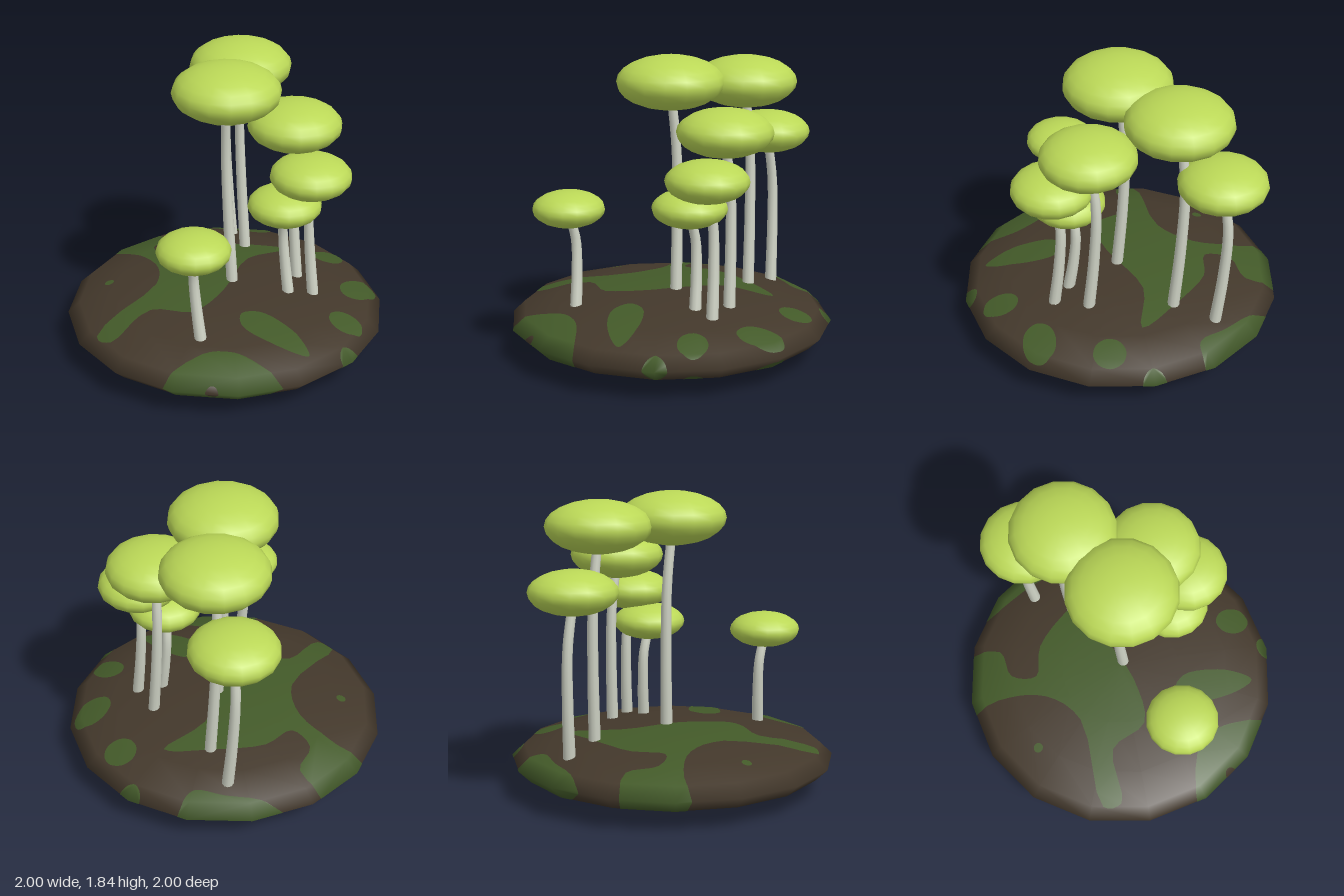
import * as THREE from 'three';

const SIDES = 16, RINGS = 8, MID = 0.195, HALF = 0.19; // flattened ground mound

const material = (name, color, extra = {}) => {
  const m = new THREE.MeshStandardMaterial({ color, ...extra });
  m.name = name;
  return m;
};

// Smooth closed outline through [x, z] points
function outline(points) {
  const curve = new THREE.CatmullRomCurve3(
    points.map(([x, z]) => new THREE.Vector3(x, 0, z)), true, 'centripetal');
  return curve.getPoints(points.length * 4).slice(0, -1).map(p => new THREE.Vector2(p.x, p.z));
}

// Oval outline, narrowed towards +z by taper
function oval(x, z, rx, rz = rx, taper = 0) {
  return Array.from({ length: 8 }, (_, i) => {
    const a = i * Math.PI / 4, s = Math.sin(a);
    return [x + rx * Math.cos(a) * (1 - taper * s), z + rz * s];
  });
}

// Keep the side of a polygon where nx * x + nz * z >= c
function clip(poly, nx, nz, c) {
  const out = [];
  poly.forEach((p, i) => {
    const q = poly[(i + 1) % poly.length];
    const a = nx * p.x + nz * p.y - c, b = nx * q.x + nz * q.y - c;
    if (a >= 0) out.push(p);
    if ((a >= 0) !== (b >= 0)) out.push(p.clone().lerp(q, a / (a - b)));
  });
  return out;
}

// Thin skin following the mound's facets, on its upper and lower face
function patchGeometry(points, lift) {
  const shape = outline(points), pos = [], nor = [];
  const half = Math.PI / SIDES;
  for (let s = 0; s < SIDES; s++) {
    const a = (2 * s + 1) * half, cx = Math.cos(a), cz = Math.sin(a);
    const wedge = clip(
      clip(shape, -Math.sin(a - half), Math.cos(a - half), 0),
      Math.sin(a + half), -Math.cos(a + half), 0);
    for (let j = 0; j < RINGS / 2; j++) {
      const t0 = j * Math.PI / RINGS, t1 = (j + 1) * Math.PI / RINGS;
      const d0 = Math.sin(t0) * Math.cos(half), d1 = Math.sin(t1) * Math.cos(half);
      const piece = clip(clip(wedge, cx, cz, d0), -cx, -cz, -d1);
      if (piece.length < 3) continue;
      const verts = piece.map(p => {
        const k = (p.x * cx + p.y * cz - d0) / (d1 - d0);
        const y = HALF * THREE.MathUtils.lerp(Math.cos(t0), Math.cos(t1), k);
        const n = new THREE.Vector3(p.x, y / (HALF * HALF), p.y).normalize();
        return { p: new THREE.Vector3(p.x, y, p.y).addScaledVector(n, lift), n };
      });
      for (const [i0, i1, i2] of THREE.ShapeUtils.triangulateShape(piece, [])) {
        const A = piece[i0], B = piece[i1], C = piece[i2];
        const turn = (B.x - A.x) * (C.y - A.y) - (B.y - A.y) * (C.x - A.x);
        const up = turn < 0 ? [i0, i1, i2] : [i0, i2, i1];
        for (const [side, order] of [[1, up], [-1, [...up].reverse()]]) {
          for (const i of order) {
            const { p, n } = verts[i];
            pos.push(p.x, MID + side * p.y, p.z);
            nor.push(n.x, side * n.y, n.z);
          }
        }
      }
    }
  }
  const g = new THREE.BufferGeometry();
  g.setAttribute('position', new THREE.Float32BufferAttribute(pos, 3));
  g.setAttribute('normal', new THREE.Float32BufferAttribute(nor, 3));
  return g;
}

// Bent stem from the mound up into a cap, narrowing towards the top
function stemGeometry(x, y, z) {
  const bx = x + 0.036, bz = z + 0.018;
  const by = MID + HALF * Math.sqrt(1 - bx * bx - bz * bz) - 0.03;
  const curve = new THREE.CatmullRomCurve3([
    new THREE.Vector3(bx, by, bz),
    new THREE.Vector3(bx + 0.004, by + (y - by) * 0.35, bz - 0.037),
    new THREE.Vector3(bx - 0.002, by + (y - by) * 0.68, bz - 0.053),
    new THREE.Vector3(x, y - 0.04, z - 0.005),
  ]);
  const rows = 12, round = 10;
  const g = new THREE.TubeGeometry(curve, rows, 0.037, round, false);
  const pos = g.attributes.position, v = new THREE.Vector3();
  for (let i = 0; i < pos.count; i++) {
    const t = Math.floor(i / (round + 1)) / rows;
    const c = curve.getPointAt(t);
    v.fromBufferAttribute(pos, i).sub(c).multiplyScalar(1 - 0.25 * t).add(c);
    pos.setXYZ(i, v.x, v.y, v.z);
  }
  return g;
}

// Moss outlines seen from above, as [x, z]
const branchingMoss = [
  [-0.1, -1.1], [0.27, -1.1], [0.28, -0.76], [0.09, -0.71], [0.05, -0.55], [0.25, -0.49],
  [0.48, -0.25], [0.64, 0], [0.32, -0.08], [-0.1, 0.07], [-0.4, 0.08], [-0.53, -0.15],
  [-0.87, -0.16], [-0.87, -0.28], [-0.3, -0.32], [-0.1, -0.51], [-0.05, -0.82]];
const cornerMoss = [
  [-1.1, 0.36], [-0.65, 0.38], [-0.53, 0.51], [-0.49, 0.67], [-0.54, 1.05], [-1.1, 1.05]];
const rimMoss = [
  [0.53, -1.1], [0.55, -0.8], [0.7, -0.5], [0.78, -0.33], [0.9, -0.32], [1.1, -0.38], [1.1, -1.1]];
const looseMoss = [
  oval(-0.22, 0.58, 0.1, 0.26, 0.35),
  oval(0.2, 0.8, 0.09, 0.11),
  oval(0.58, 0.62, 0.14, 0.1),
  oval(0.78, 0.23, 0.1, 0.1),
  oval(-0.42, -0.62, 0.03),
  oval(0, 1, 0.075),
  oval(1, 0, 0.075),
];

// Cap centre x, y, z and radius
const MUSHROOMS = [
  [0, 1.675, 0.01, 0.33],
  [0.44, 1.65, -0.25, 0.32],
  [0.58, 1.295, -0.48, 0.267],
  [0.345, 1.42, 0.26, 0.29],
  [0.255, 1.17, 0.46, 0.25],
  [0.145, 0.98, 0.35, 0.227],
  [-0.59, 0.94, 0.265, 0.22],
];

export function createModel() {
  const model = new THREE.Group();
  model.name = 'mushroomPatch';
  const soil = material('soil brown', 0x43382b);
  const moss = material('moss green', 0x435a29);
  const stemMat = material('stem pale grey', 0xd0d4c6, { side: THREE.DoubleSide });
  const capMat = material('cap lime', 0xbbd857);

  const add = (parent, name, geometry, mat) => {
    const mesh = new THREE.Mesh(geometry, mat);
    mesh.name = name;
    parent.add(mesh);
    return mesh;
  };

  // Ground mound with moss patches
  const ground = new THREE.Group();
  ground.name = 'ground';
  model.add(ground);
  add(ground, 'mound', new THREE.SphereGeometry(1, SIDES, RINGS).scale(1, HALF, 1), soil).position.y = MID;
  [branchingMoss, cornerMoss, rimMoss, ...looseMoss].forEach((points, i) =>
    add(ground, `mossPatch${i + 1}`, patchGeometry(points, 0.002), moss));
  add(ground, 'bareSpot', patchGeometry(oval(-0.8, 0.58, 0.04), 0.004), soil);

  // Mushrooms
  MUSHROOMS.forEach(([x, y, z, r], i) => {
    const mushroom = new THREE.Group();
    mushroom.name = `mushroom${i + 1}`;
    add(mushroom, 'stem', stemGeometry(x, y, z), stemMat);
    add(mushroom, 'cap', new THREE.SphereGeometry(r, 16, 12).scale(1, 0.5, 1), capMat).position.set(x, y, z);
    model.add(mushroom);
  });
  return model;
}
